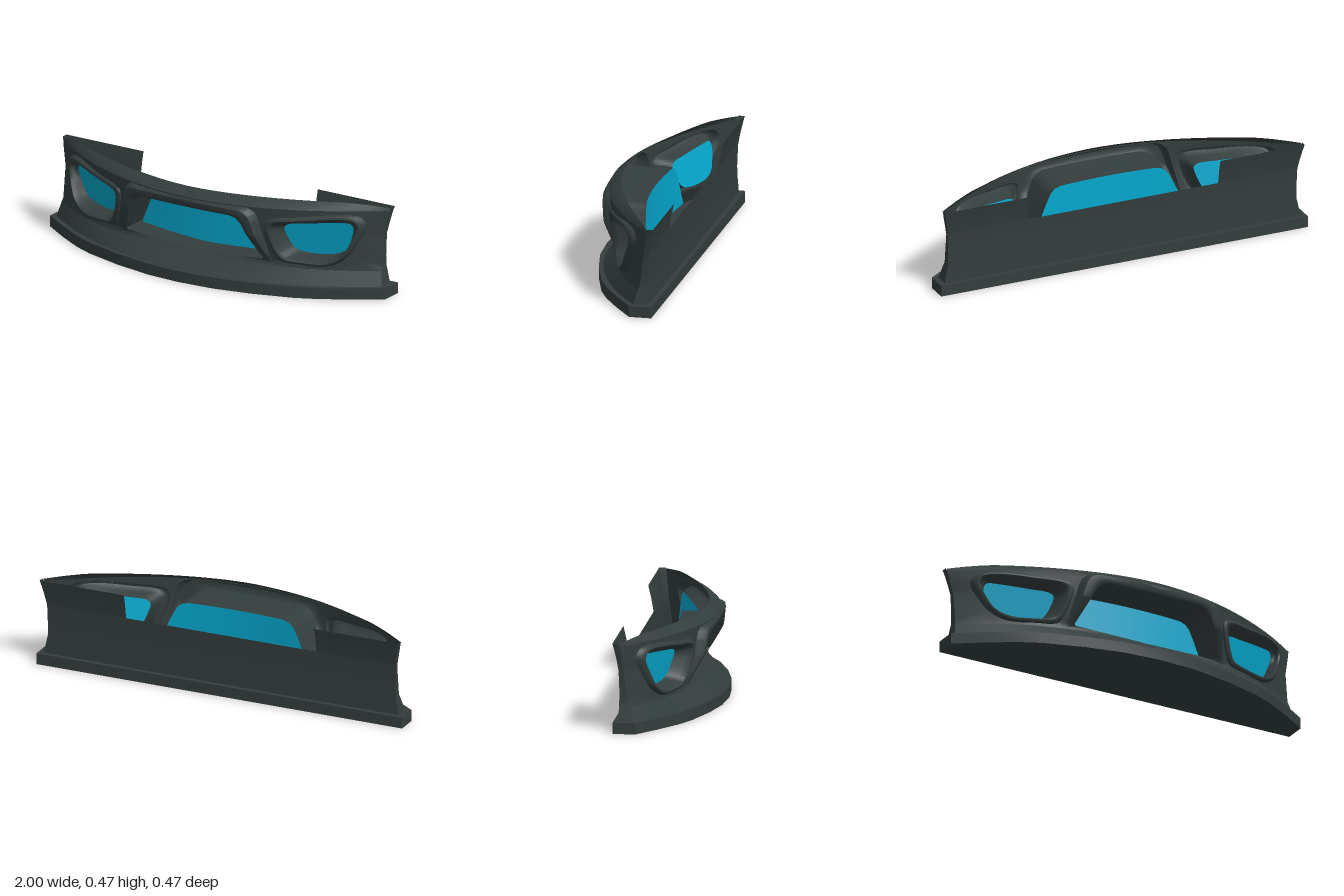
import * as THREE from 'three';
import { toCreasedNormals } from 'three/addons/utils/BufferGeometryUtils.js';

const body = new THREE.MeshStandardMaterial({ color: 0x343d3d, side: THREE.DoubleSide });
body.name = 'charcoal';
const glass = new THREE.MeshStandardMaterial({ color: 0x04a8ce, side: THREE.DoubleSide });
glass.name = 'blue';

const clamp = THREE.MathUtils.clamp;

// Skin levels: y, half width, z at the middle, z at the ends, bow exponent
const LEVELS = [
  [0.057, 0.97, 0.205, -0.13, 2.2],
  [0.13, 0.955, 0.115, -0.153, 2.6],
  [0.15, 0.95, 0.095, -0.16, 3],
  [0.31, 0.95, 0.155, -0.18, 2.4],
  [0.42, 0.972, 0.185, -0.193, 2],
  [0.435, 0.975, 0.188, -0.197, 2],
  [0.452, 0.98, 0.175, -0.2, 2],
];
// Back wall profile: y, z
const BACK = [[0.057, -0.205], [0.2, -0.201], [0.32, -0.206], [0.39, -0.218], [0.452, -0.233]];
// Front edge of the base: x, z
const BASE = [[0, 0.235], [0.2, 0.222], [0.4, 0.181], [0.61, 0.117], [0.72, 0.066], [0.86, -0.02], [1, -0.117]];

function sample(table, y) {
  let i = 0;
  while (i < table.length - 2 && y > table[i + 1][0]) i++;
  const a = table[i], b = table[i + 1];
  const t = clamp((y - a[0]) / (b[0] - a[0]), 0, 1);
  return a.map((v, k) => v + (b[k] - v) * t);
}

function skinZ(x, y) {
  const [, half, mid, end, power] = sample(LEVELS, y);
  return mid + (end - mid) * Math.pow(Math.min(1, Math.abs(x) / half), power);
}

// Surface through rows of points; closed rows wrap around
function surface(rows, closed = false) {
  const n = rows[0].length, index = [];
  for (let r = 0; r < rows.length - 1; r++) {
    for (let i = 0; i < (closed ? n : n - 1); i++) {
      const j = (i + 1) % n, a = r * n, b = a + n;
      index.push(a + i, a + j, b + i, a + j, b + j, b + i);
    }
  }
  const g = new THREE.BufferGeometry();
  g.setAttribute('position', new THREE.Float32BufferAttribute(rows.flat(2), 3));
  g.setIndex(index);
  return toCreasedNormals(g, 0.6);
}

// Point where a ray from the centre meets a polygon
function hit(poly, c, d) {
  let best = 0;
  poly.forEach((p, i) => {
    const q = poly[(i + 1) % poly.length];
    const ex = q[0] - p[0], ey = q[1] - p[1];
    const det = d[0] * ey - d[1] * ex;
    if (Math.abs(det) < 1e-12) return;
    const px = p[0] - c[0], py = p[1] - c[1];
    const t = (px * ey - py * ex) / det, s = (px * d[1] - py * d[0]) / det;
    if (t > 0 && s >= -1e-6 && s <= 1 + 1e-6) best = Math.max(best, t);
  });
  return [c[0] + d[0] * best, c[1] + d[1] * best];
}

function smooth(points) {
  const curve = new THREE.CatmullRomCurve3(points.map(p => new THREE.Vector3(p[0], p[1], 0)), true, 'centripetal');
  return curve.getPoints(64).slice(0, -1).map(p => [p.x, p.y]);
}

const mirror = half => [...half, ...half.filter(p => p[0] !== 0).reverse().map(([x, y]) => [-x, y])];

// Skin cell with a raised rim, a recessed duct and a coloured panel at its back
function opening(o, side) {
  const angles = Array.from({ length: 120 }, (_, i) => (i / 120) * Math.PI * 2 - Math.PI);
  for (const p of o.cell) angles.push(Math.atan2((p[1] - o.c[1]) / o.ratio, p[0] - o.c[0]));
  angles.sort((a, b) => a - b);
  const dirs = angles.map(a => [Math.cos(a), Math.sin(a) * o.ratio]);
  const cell = dirs.map(d => hit(o.cell, o.c, d));
  const outer = dirs.map(d => hit(o.outer, o.c, d));
  const inner = dirs.map(d => hit(o.inner, o.c, d));
  const mix = (a, b, t) => [a[0] + (b[0] - a[0]) * t, a[1] + (b[1] - a[1]) * t];
  const place = ([x, y], lift, deep) => {
    const front = skinZ(x, y) + lift * o.liftAt(x, y);
    return [x * side, y, front + (o.backZ(x, y) - front) * deep];
  };
  const rows = [0, 0.5, 1].map(t => cell.map((p, i) => place(mix(p, outer[i], t), 0, 0)));
  for (const [t, lift, deep] of o.rim) {
    rows.push(outer.map((p, i) => place(mix(inner[i], p, t), lift, deep)));
  }
  const panel = [0, 0.33, 0.66, 1].map(t => inner.map(p => place(mix(p, o.c, t), 0, 1)));
  return [surface(rows, true), surface(panel, true)];
}

const CENTRE = {
  c: [0, 0.27], ratio: 0.35,
  cell: mirror([[0.46, 0.13], [0.4, 0.435]]),
  outer: mirror([[0, 0.136], [0.452, 0.138], [0.40, 0.37], [0.385, 0.405], [0.35, 0.43]]),
  inner: mirror([[0, 0.14], [0.41, 0.157], [0.35, 0.29], [0.32, 0.35], [0.295, 0.373], [0.26, 0.382]]),
  liftAt: (x, y) => clamp((y - 0.14) / 0.15, 0, 1) * (0.45 + 8 * x * x),
  backZ: x => -0.02 - 0.04 * (x / 0.43) ** 2,
  rim: [[0.92, 0.014, 0], [0.75, 0.026, 0], [0.45, 0.029, 0], [0.2, 0.028, 0], [0.04, 0.024, 0], [0, 0.012, 0], [0, 0, 1]],
};

const LAMP = {
  c: [0.64, 0.28], ratio: 0.6,
  cell: [[0.46, 0.13], [0.955, 0.13], [0.95, 0.15], [0.95, 0.31], [0.972, 0.42], [0.975, 0.435], [0.4, 0.435]],
  outer: smooth([[0.43, 0.36], [0.428, 0.32], [0.455, 0.22], [0.49, 0.16], [0.6, 0.147], [0.73, 0.15],
    [0.81, 0.2], [0.86, 0.29], [0.885, 0.365], [0.86, 0.405], [0.8, 0.418], [0.6, 0.398], [0.46, 0.38]]),
  inner: smooth([[0.49, 0.32], [0.5, 0.27], [0.53, 0.21], [0.58, 0.19], [0.72, 0.192],
    [0.775, 0.22], [0.805, 0.28], [0.82, 0.345], [0.805, 0.366], [0.77, 0.366], [0.6, 0.35], [0.51, 0.338]]),
  liftAt: x => 1 + 1.2 * clamp((x - 0.62) / 0.22, 0, 1),
  backZ: (x, y) => 0.015 - 0.38 * (x - 0.49) + 0.2 * (y - 0.3),
  rim: [[0.94, 0.008, 0], [0.82, 0.013, 0], [0.64, 0.014, 0], [0.48, 0.01, 0.03], [0.3, 0, 0.3], [0.12, 0, 0.7], [0, 0, 1]],
};

export function createModel() {
  const group = new THREE.Group();
  const add = (name, geometry, material = body) => {
    const mesh = new THREE.Mesh(geometry, material);
    mesh.name = name;
    group.add(mesh);
  };
  const span = Array.from({ length: 49 }, (_, i) => i / 24 - 1);

  // Bowed base plate
  const plan = new THREE.Shape([[-1, -0.23], ...mirror(BASE).slice(7), ...BASE, [1, -0.23]]
    .sort((a, b) => a[0] - b[0] || (a[1] - b[1]) * -Math.sign(a[0]))
    .map(([x, z]) => new THREE.Vector2(x, -z)));
  const base = new THREE.ExtrudeGeometry(plan, { depth: 0.057, bevelEnabled: false });
  base.rotateX(-Math.PI / 2);
  add('basePlate', toCreasedNormals(base, 0.5));

  // Sloping apron under the openings
  add('lowerApron', surface([0.057, 0.08, 0.105, 0.13].map(y => span.map(u => {
    const x = u * sample(LEVELS, y)[1];
    return [x, y, skinZ(x, y)];
  }))));

  // Chamfer along the top edge: each step is a share of the rise and of the run
  add('topChamfer', surface([[0, 0], [0.45, 0.3], [1, 1]].map(([rise, run]) => span.map(u => {
    const x = u * 0.975, y0 = 0.435, z0 = skinZ(x, y0);
    const y1 = 0.472 - 0.022 * Math.pow(clamp((Math.abs(x) - 0.76) / 0.215, 0, 1), 1.4);
    const z1 = 0.13 - 0.33 * Math.pow(Math.abs(u), 1.75);
    return [x, y0 + (y1 - y0) * rise, z0 + (z1 - z0) * run];
  }))));

  // Openings with their blue panels
  const [frame, panel] = opening(CENTRE, 1);
  add('centreFrame', frame);
  add('centrePanel', panel, glass);
  for (const side of [1, -1]) {
    const label = side > 0 ? 'left' : 'right';
    const [rim, lens] = opening(LAMP, side);
    add(label + 'LampFrame', rim);
    add(label + 'LampPanel', lens, glass);

    // Side panel between the front corner and the back wall
    const ys = [0.057, 0.13, 0.15, 0.2, 0.25, 0.31, 0.37, 0.42, 0.435, 0.452];
    add(label + 'SidePanel', surface(ys.map(y => {
      const [, half, , end] = sample(LEVELS, y);
      return [[half * side, y, end], [half * side, y, sample(BACK, y)[1]]];
    })));

    // Raised post at the end of the back wall
    add(label + 'BackPost', surface([0.32, 0.355, 0.39, 0.42, 0.452].map(y => {
      const z = sample(BACK, y)[1];
      return [[0.52 * side, y, z], [sample(LEVELS, y)[1] * side, y, z]];
    })));
  }

  // Low back wall
  add('backWall', surface([0.057, 0.13, 0.15, 0.2, 0.26, 0.32].map(y => {
    const half = sample(LEVELS, y)[1], z = sample(BACK, y)[1];
    return [[-half, y, z], [half, y, z]];
  })));

  return group;
}
